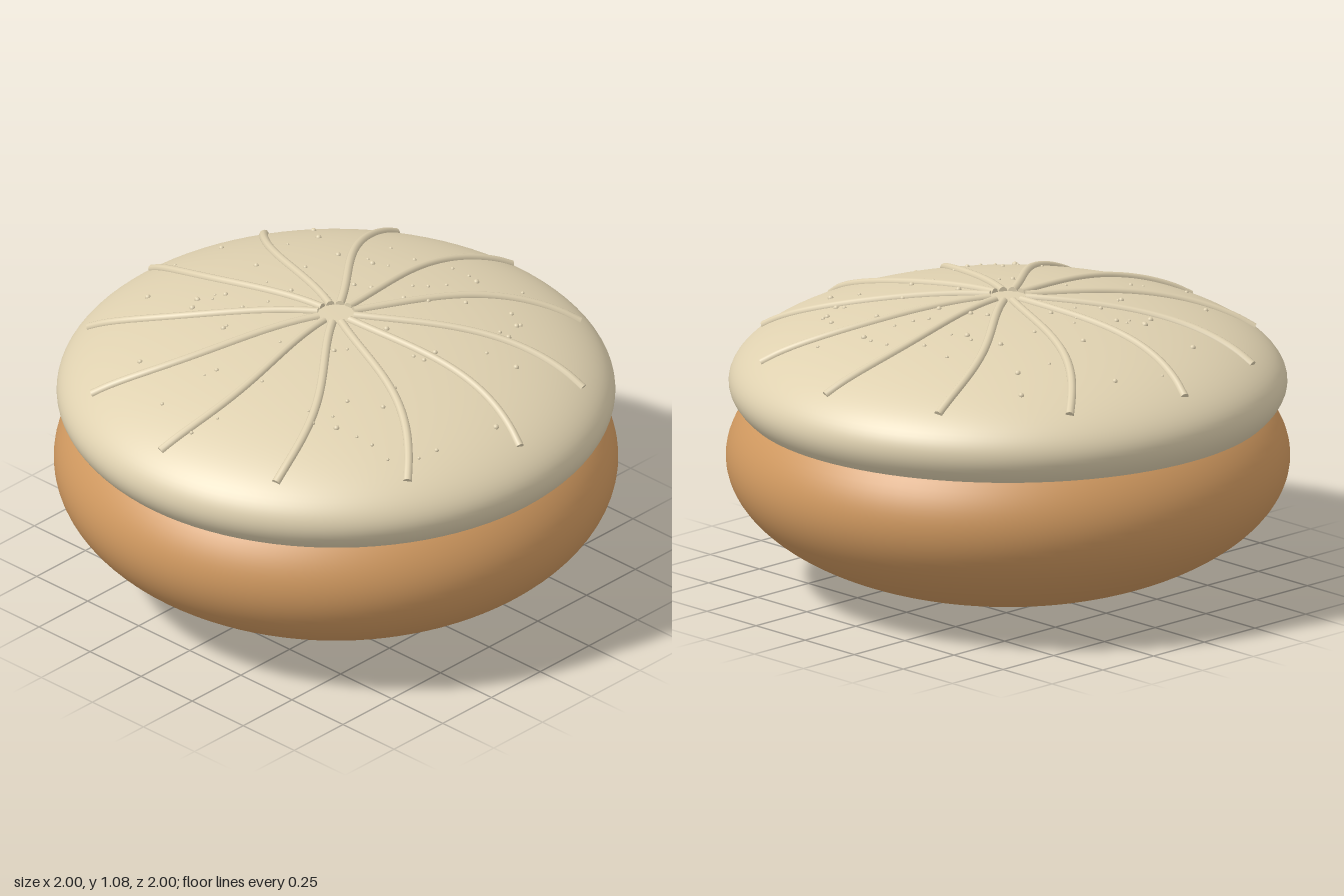
import * as THREE from 'three';

const CAP = { r: 0.99, y: 0.755, h: 0.31 };

// Height of the cap surface at a distance r from the axis
const capHeight = (r) => CAP.y + CAP.h * Math.sqrt(Math.max(0, 1 - (r / CAP.r) ** 2));

// Point on the cap at radius r and angle a
const onCap = (r, a) => new THREE.Vector3(r * Math.cos(a), capHeight(r), r * Math.sin(a));

function seeded(seed) {
  return () => (seed = (seed * 16807) % 2147483647) / 2147483647;
}

export function createModel() {
  const model = new THREE.Group();
  const brown = new THREE.MeshStandardMaterial({ color: 0xcf985f });
  brown.name = 'warm brown';
  const cream = new THREE.MeshStandardMaterial({ color: 0xdfd1b0 });
  cream.name = 'cream';

  const add = (name, geometry, material, parent = model) => {
    const mesh = new THREE.Mesh(geometry, material);
    mesh.name = name;
    parent.add(mesh);
    return mesh;
  };

  // Two overlapping flattened spheres: body below, cap above
  const body = add('body', new THREE.SphereGeometry(1, 96, 64), brown);
  body.scale.set(1, 0.48, 1);
  body.position.y = 0.48;
  const cap = add('cap', new THREE.SphereGeometry(1, 96, 64), cream);
  cap.scale.set(CAP.r, CAP.h, CAP.r);
  cap.position.y = CAP.y;

  // Twelve curved ridges running out from the centre, with closed ends
  const ridges = new THREE.Group();
  ridges.name = 'ridges';
  model.add(ridges);
  const points = [];
  for (let i = 0; i <= 14; i++) {
    const r = 0.065 + (0.9 - 0.065) * (i / 14);
    points.push(onCap(r, -0.12 * Math.sin((Math.PI * r) / 0.9)));
  }
  const path = new THREE.CatmullRomCurve3(points);
  const tube = new THREE.TubeGeometry(path, 40, 0.016, 10);
  const disc = new THREE.CircleGeometry(0.016, 10);
  for (let i = 0; i < 12; i++) {
    const ridge = new THREE.Group();
    ridge.name = 'ridge';
    ridge.rotation.y = (i * Math.PI) / 6;
    ridges.add(ridge);
    add('ridgeTube', tube, cream, ridge);
    for (const t of [0, 1]) {
      const end = add('ridgeEnd', disc, cream, ridge);
      const p = path.getPointAt(t);
      const out = path.getTangentAt(t).multiplyScalar(t ? 1 : -1);
      end.position.copy(p);
      end.quaternion.setFromUnitVectors(new THREE.Vector3(0, 0, 1), out);
    }
  }

  // Small specks scattered over the cap
  const specks = new THREE.Group();
  specks.name = 'specks';
  model.add(specks);
  const random = seeded(4711);
  const ball = new THREE.SphereGeometry(1, 10, 8);
  for (let i = 0; i < 80; i++) {
    const speck = add('speck', ball, cream, specks);
    speck.position.copy(onCap(0.2 + 0.65 * random(), 2 * Math.PI * random()));
    speck.scale.setScalar(0.005 + 0.006 * random());
  }

  return model;
}
